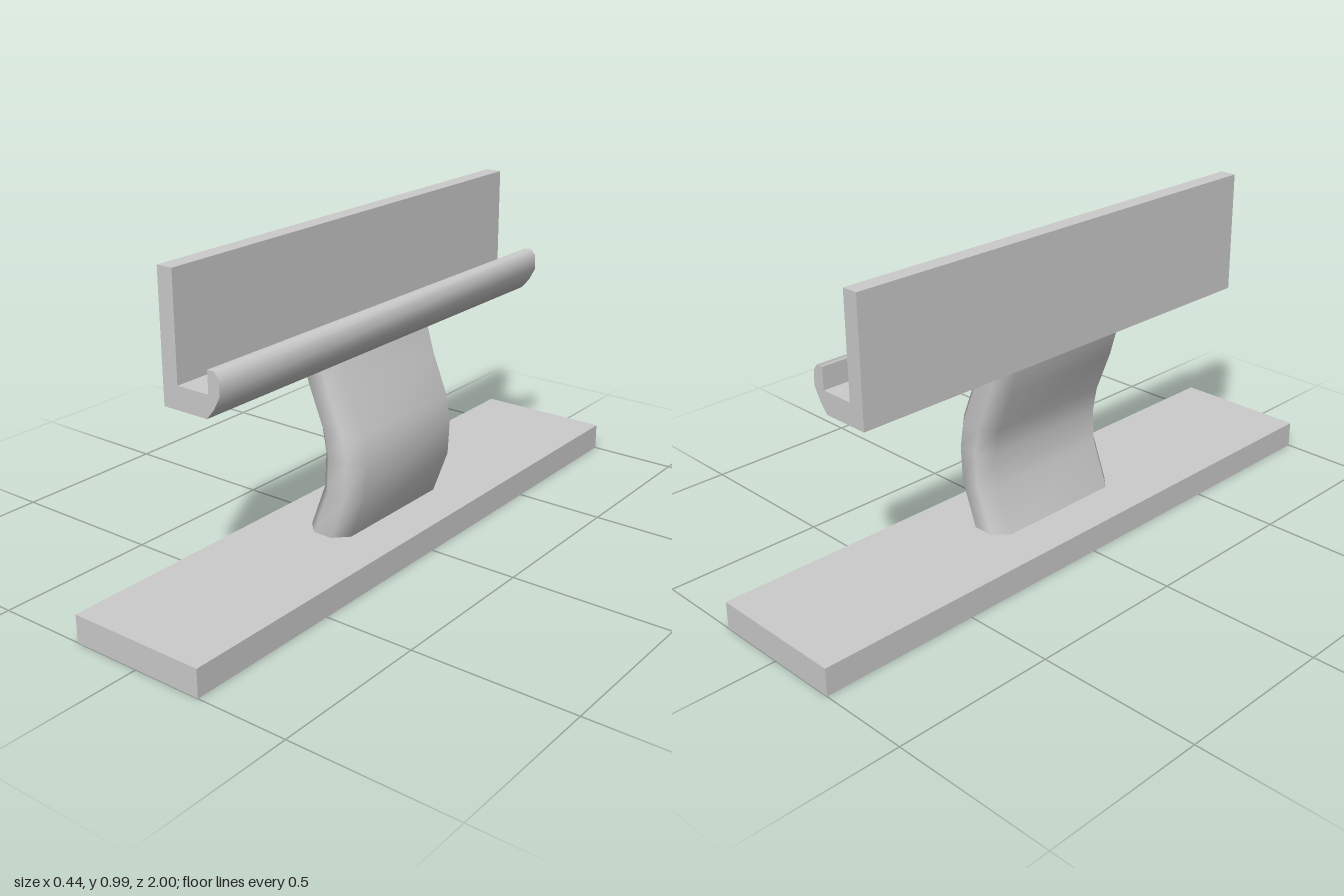
import * as THREE from 'three';
import { toCreasedNormals } from 'three/addons/utils/BufferGeometryUtils.js';

const material = new THREE.MeshStandardMaterial({ color: 0xcccccc });

function addPart(group, name, geometry) {
  const mesh = new THREE.Mesh(geometry, material);
  mesh.name = name;
  group.add(mesh);
  return mesh;
}

// Curved neck: chamfered rectangular sections [y, xMin, xMax] lofted upwards
function neckGeometry(sections, halfDepth, chamfer) {
  const positions = [];
  const indices = [];
  const d = halfDepth, e = halfDepth - chamfer, n = 8;
  for (const [y, a, b] of sections) {
    const ring = [
      [b, e], [b, -e], [b - chamfer, -d], [a + chamfer, -d],
      [a, -e], [a, e], [a + chamfer, d], [b - chamfer, d],
    ];
    for (const [x, z] of ring) positions.push(x, y, z);
  }
  for (let j = 0; j < sections.length - 1; j++) {
    for (let i = 0; i < n; i++) {
      const p = j * n + i, q = j * n + (i + 1) % n;
      indices.push(p, q, q + n, p, q + n, p + n);
    }
  }
  const geometry = new THREE.BufferGeometry();
  geometry.setAttribute('position', new THREE.Float32BufferAttribute(positions, 3));
  geometry.setIndex(indices);
  geometry.computeVertexNormals();
  return geometry;
}

export function createModel() {
  const group = new THREE.Group();
  group.name = 'displayStand';

  // Flat base plate
  addPart(group, 'base', new THREE.BoxGeometry(0.436, 0.084, 2)).position.y = 0.042;

  // S-shaped neck; its open ends meet the base and the tray
  addPart(group, 'neck', neckGeometry([
    [0.083, -0.075, 0.073],
    [0.222, -0.022, 0.125],
    [0.33, -0.016, 0.131],
    [0.408, -0.03, 0.118],
    [0.54, -0.082, 0.066],
    [0.616, -0.104, 0.044],
  ], 0.25, 0.042));

  // Holder: tall back plate, shelf and rounded front lip in one profile
  const profile = new THREE.Shape([
    [-0.106, 0.615], [0.044, 0.615], [0.07, 0.646], [0.091, 0.685],
    [0.089, 0.73], [0.074, 0.748], [0.052, 0.748], [0.052, 0.682],
    [-0.055, 0.682], [-0.055, 0.99], [-0.106, 0.99],
  ].map(([x, y]) => new THREE.Vector2(x, y)));
  const holder = new THREE.ExtrudeGeometry(profile, { depth: 1.5, bevelEnabled: false });
  holder.translate(0, 0, -0.75);
  addPart(group, 'holder', toCreasedNormals(holder, 0.95));

  return group;
}
